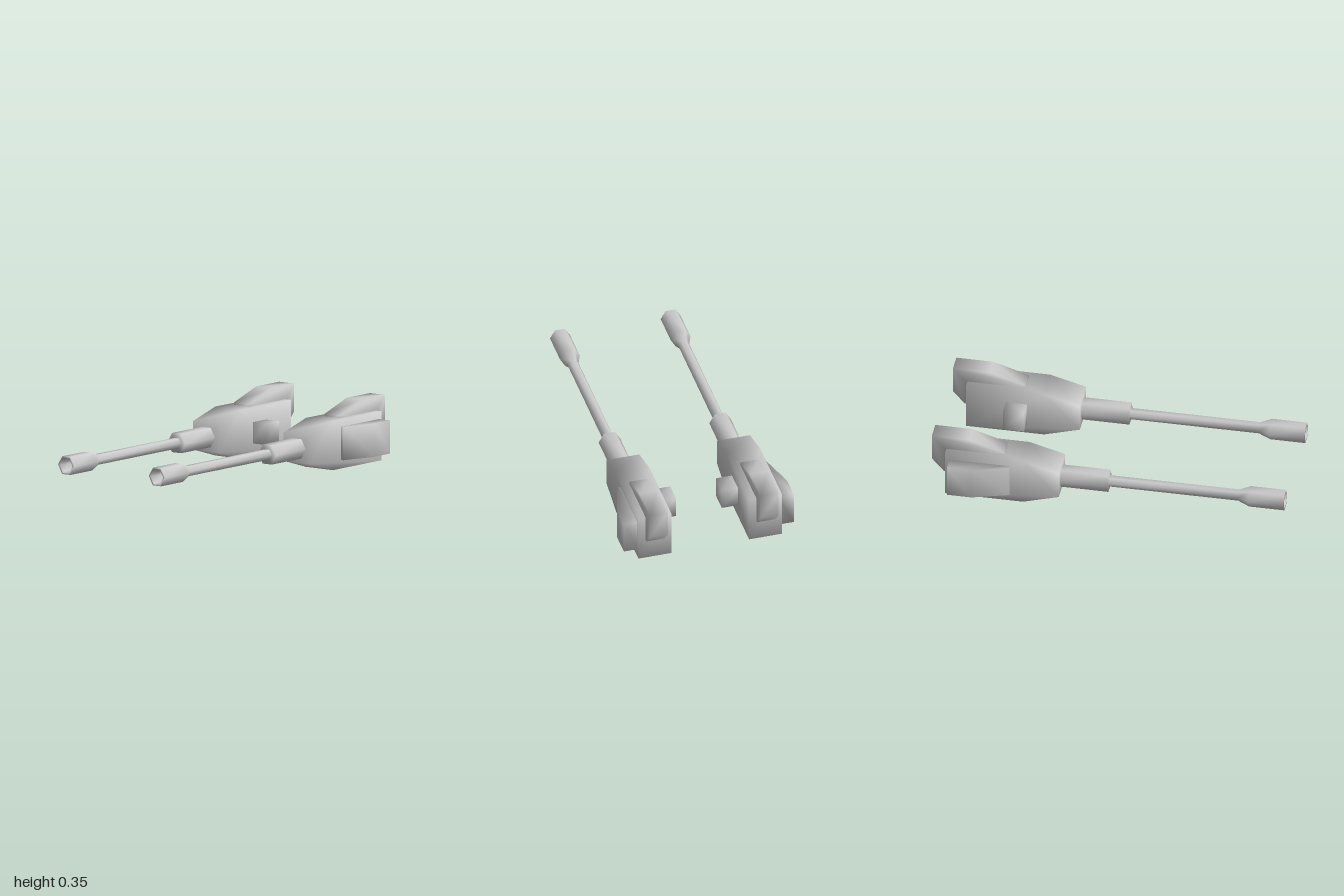
import * as THREE from 'three';
import { mergeVertices } from 'three/addons/utils/BufferGeometryUtils.js';

const GUN_X = 0.322;   // distance of each barrel axis from the centre
const AXIS_Y = 0.14;   // height of the barrel axis
const material = new THREE.MeshStandardMaterial({ color: 0xcccccc });

// Welds the corners so that normals run smoothly over the low-poly forms.
function smoothMesh(name, geometry) {
  geometry.deleteAttribute('normal');
  geometry.deleteAttribute('uv');
  const welded = mergeVertices(geometry, 1e-4);
  welded.computeVertexNormals();
  const mesh = new THREE.Mesh(welded, material);
  mesh.name = name;
  return mesh;
}

function extrude(points, depth) {
  const shape = new THREE.Shape(points.map(([a, b]) => new THREE.Vector2(a, b)));
  return new THREE.ExtrudeGeometry(shape, { depth, bevelEnabled: false });
}

// Side profile of [z, y] points, given a width centred on x = 0.
function sideProfile(name, points, width) {
  return smoothMesh(name, extrude(points, width).rotateY(-Math.PI / 2).translate(width / 2, 0, 0));
}

// Plan outline of [x, z] points, standing between two heights.
function planProfile(name, points, bottom, top) {
  return smoothMesh(name, extrude(points, top - bottom).rotateX(Math.PI / 2).translate(0, top, 0));
}

// Hexagonal turned part along z from [radius, z] points.
function hexTurned(name, points) {
  const profile = points.map(([r, z]) => new THREE.Vector2(r, z));
  const geometry = new THREE.LatheGeometry(profile, 6, Math.PI / 2);
  return smoothMesh(name, geometry.rotateX(Math.PI / 2).translate(0, AXIS_Y, 0));
}

// One cannon; side is +1 for the left (+x) and -1 for the right.
function createCannon(side) {
  const cannon = new THREE.Group();
  cannon.name = side > 0 ? 'leftCannon' : 'rightCannon';
  cannon.position.x = side * GUN_X;

  // Housing with a tapered nose
  cannon.add(sideProfile('housing', [
    [-0.27, 0.06], [-0.27, 0.22], [-0.473, 0.277], [-0.917, 0.277], [-0.917, 0], [-0.473, 0],
  ], 0.191));

  // Raised spine that overhangs the back of the housing
  cannon.add(sideProfile('spine', [
    [-0.588, 0.29], [-0.79, 0.355], [-1, 0.355], [-1, 0.2], [-0.932, 0.122],
    [-0.89, 0.122], [-0.89, 0.24], [-0.588, 0.24],
  ], 0.106));

  // Outer side pod, wedge-shaped in plan
  cannon.add(planProfile('sidePod', [
    [0.08, -0.892], [0.173, -0.892], [0.173, -0.752], [0.112, -0.548], [0.08, -0.548],
  ].map(([x, z]) => [side * x, z]), 0.048, 0.236));

  // Mounting stub on the inner side
  const stub = smoothMesh('mountStub', new THREE.BoxGeometry(0.11, 0.12, 0.12));
  stub.position.set(side * -0.134, 0.135, -0.63);
  cannon.add(stub);

  // Barrel sleeve
  cannon.add(hexTurned('barrelSleeve', [[0, -0.3], [0.063, -0.3], [0.063, 0], [0, 0]]));

  // Barrel, flaring to a hollow muzzle
  cannon.add(hexTurned('barrel', [
    [0, -0.02], [0.032, -0.02], [0.032, 0.735], [0.058, 0.8],
    [0.058, 1], [0.046, 1], [0.035, 0.92], [0, 0.92],
  ]));
  return cannon;
}

export function createModel() {
  const model = new THREE.Group();
  model.name = 'twinCannons';
  for (const side of [1, -1]) model.add(createCannon(side));
  return model;
}
